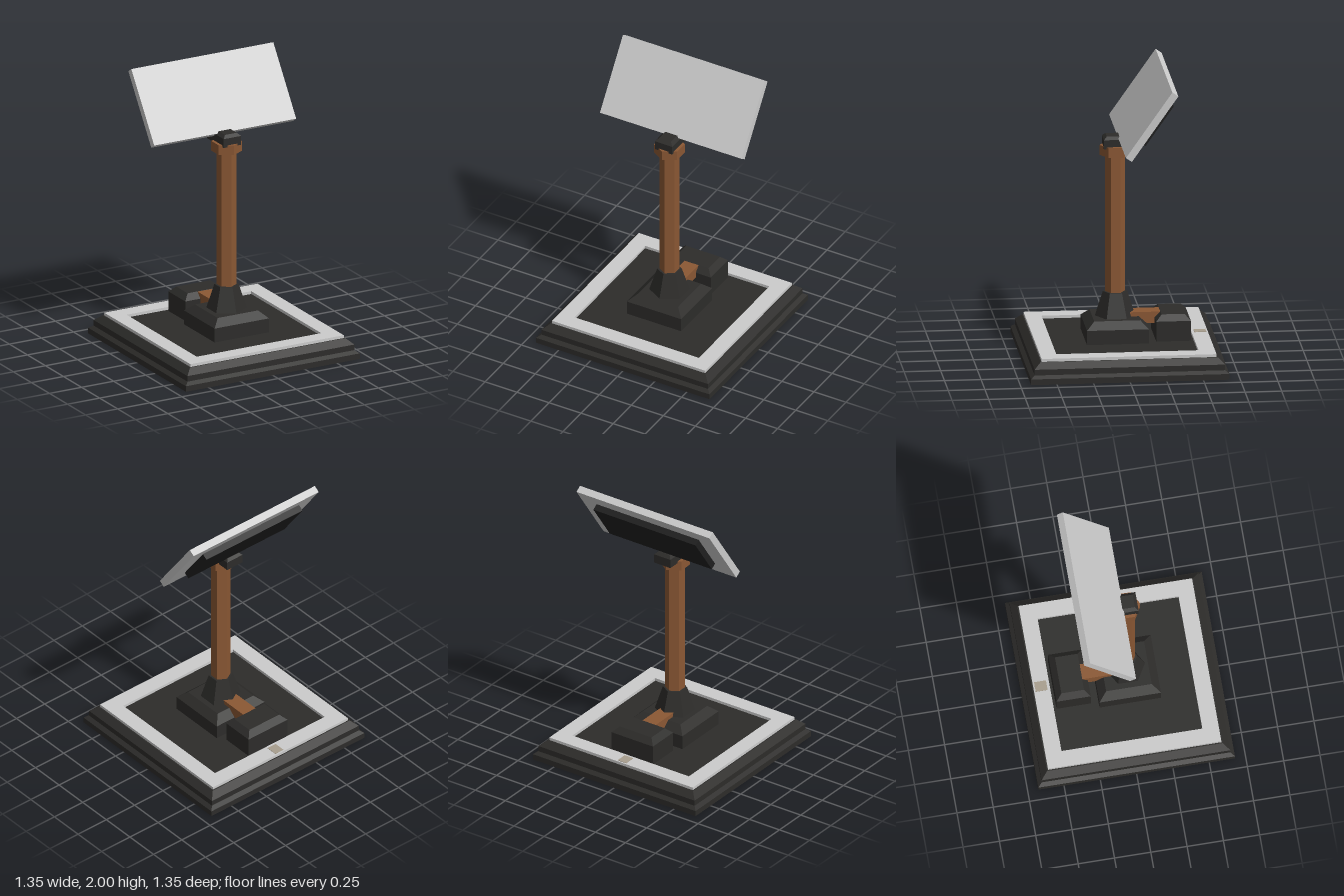
import * as THREE from 'three';

const mat = (color) => new THREE.MeshStandardMaterial({ color, flatShading: true });

export function createModel() {
  const group = new THREE.Group();
  const grey = mat(0xcccccc), dark = mat(0x2d2c2a), black = mat(0x1f1f1f);
  const brown = mat(0x8b5834), tan = mat(0xa89e8e);

  const add = (name, geometry, material, x = 0, y = 0, z = 0, parent = group) => {
    const mesh = new THREE.Mesh(geometry, material);
    mesh.name = name;
    mesh.position.set(x, y, z);
    parent.add(mesh);
    return mesh;
  };

  // Block with straight walls up to yMid, then bevelled inwards up to yTop
  const bevelBlock = (name, w, d, y0, yMid, yTop, inset, z = 0) => {
    const g = new THREE.BoxGeometry(w, 1, d, 1, 2, 1);
    const p = g.attributes.position;
    for (let i = 0; i < p.count; i++) {
      const level = Math.round((p.getY(i) + 0.5) * 2);
      p.setY(i, [y0, yMid, yTop][level]);
      if (level === 2) {
        p.setX(i, Math.sign(p.getX(i)) * (w / 2 - inset));
        p.setZ(i, Math.sign(p.getZ(i)) * (d / 2 - inset));
      }
    }
    g.computeVertexNormals();
    return add(name, g, dark, 0, 0, z);
  };

  // Six-sided column section with a corner facing the front
  const poleZ = 0.035;
  const hex = (name, rTop, rBottom, y0, y1, material) =>
    add(name, new THREE.CylinderGeometry(rTop, rBottom, y1 - y0, 6), material, 0, (y0 + y1) / 2, poleZ);

  // Stepped base
  bevelBlock('baseLowerStep', 1.354, 1.354, 0, 0.04, 0.06, 0.027);
  bevelBlock('baseUpperStep', 1.3, 1.3, 0.06, 0.1, 0.14, 0.045);

  // Raised square rim around the floor of the base
  const square = (Type, h) => new Type([[-h, -h], [h, -h], [h, h], [-h, h]].map(([x, y]) => new THREE.Vector2(x, y)));
  const rim = square(THREE.Shape, 0.597);
  rim.holes.push(square(THREE.Path, 0.485));
  const rimGeometry = new THREE.ExtrudeGeometry(rim, { depth: 0.02, bevelEnabled: false });
  rimGeometry.rotateX(-Math.PI / 2);
  add('baseRim', rimGeometry, grey, 0, 0.14, 0);
  add('rimPatch', new THREE.BoxGeometry(0.07, 0.004, 0.082), tan, 0, 0.161, -0.545);

  // Pedestal, rear box and the link between them
  bevelBlock('pedestal', 0.424, 0.424, 0.14, 0.24, 0.29, 0.055, poleZ);
  bevelBlock('rearBox', 0.344, 0.236, 0.14, 0.28, 0.32, 0.04, -0.348);
  add('link', new THREE.BoxGeometry(0.11, 0.079, 0.26), brown, 0, 0.2795, -0.14);

  // Column
  hex('poleFoot', 0.083, 0.137, 0.29, 0.46, dark);
  hex('pole', 0.068, 0.068, 0.46, 1.42, brown);
  hex('poleCollar', 0.104, 0.104, 1.42, 1.49, brown);
  bevelBlock('head', 0.136, 0.232, 1.476, 1.54, 1.56, 0.022, 0.001);

  // Tilted panel with its back plate
  const panel = new THREE.Group();
  panel.name = 'tiltedPanel';
  panel.position.set(0, 1.76, -0.162);
  panel.rotation.x = -THREE.MathUtils.degToRad(35);
  add('panel', new THREE.BoxGeometry(1.106, 0.553, 0.05), grey, 0, 0, 0, panel);
  add('backPlate', new THREE.BoxGeometry(0.85, 0.335, 0.046), black, 0, 0.012, -0.048, panel);
  group.add(panel);

  return group;
}
